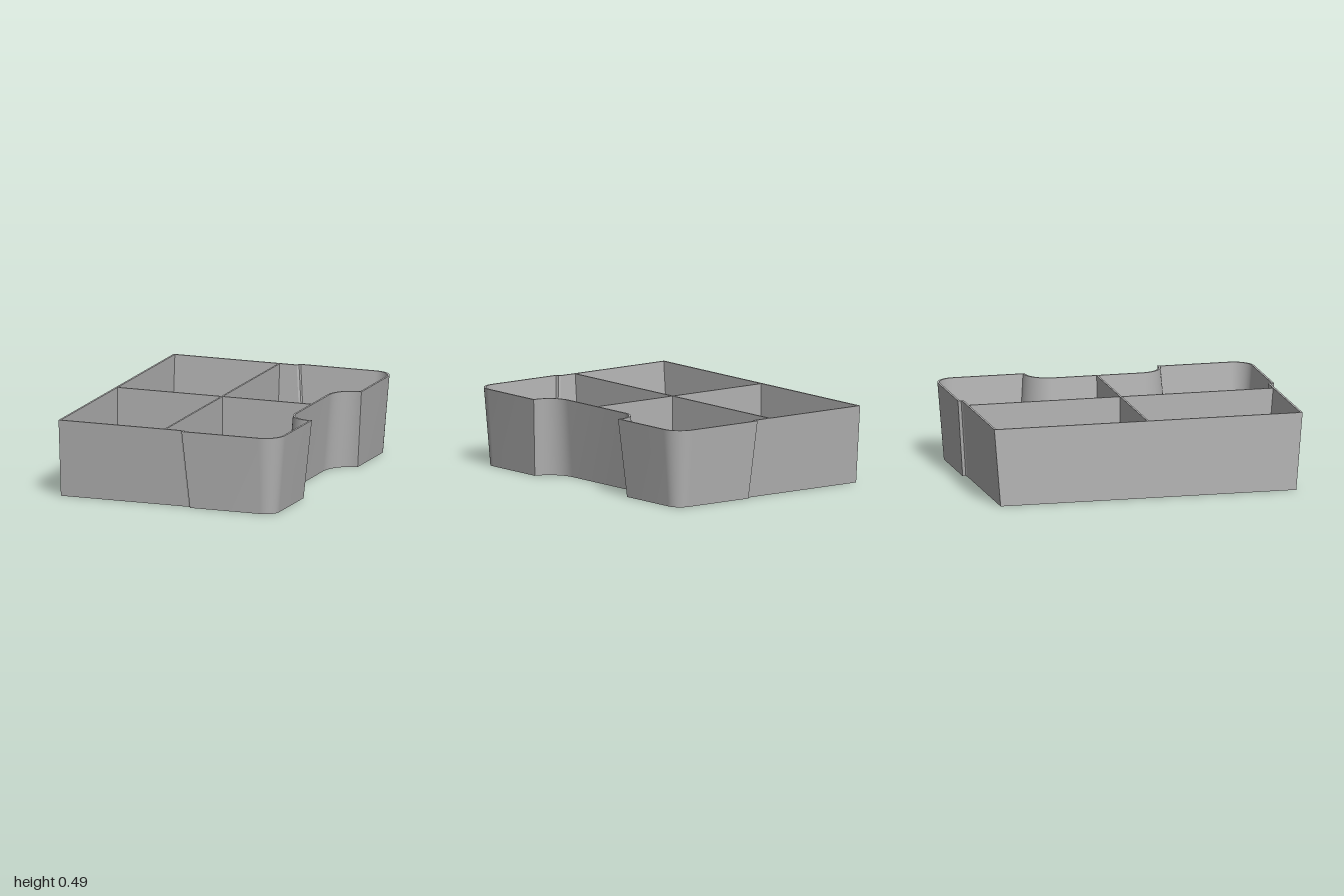
import * as THREE from 'three';
import { toCreasedNormals } from 'three/addons/utils/BufferGeometryUtils.js';

const H = 0.485, WALL = 0.013, FLOOR = 0.012, DRAFT = 0.04, BACK = -0.727;

// Tray outline at height y: inset d on the drafted sides, b on the upright side
function outline(y, d, b) {
  const half = [[BACK + b, 0.975 - d], [0.075 + d, 0.975 - d], [0.088 + d, 0.981 - d], [0.092 + d, 1 - d]];
  const arc = (cx, cz, r, from, to, n) => {
    for (let i = 0; i <= n; i++) {
      const a = from + (to - from) * i / n;
      half.push([cx + r * Math.cos(a), cz + r * Math.sin(a)]);
    }
  };
  arc(0.595, 0.87, 0.13 - d, Math.PI / 2, 0, 14);                       // rounded outer corner
  const r = 0.14 + d;
  arc(0.71, 0.28, r, Math.acos((0.015 - d) / r), Math.PI, 14);          // notch fillet
  const mirrored = half.map(([x, z]) => [x, -z]).reverse();
  return [...half, ...mirrored].map(([x, z]) => new THREE.Vector3(x, y, z));
}

// Outer wall, rim, inner wall and both floor faces as one shell
function shellGeometry() {
  const innerFloorInset = DRAFT * (1 - FLOOR / H) + WALL;
  const rings = [
    outline(0, DRAFT, 0),
    outline(H, 0, 0),
    outline(H, WALL, WALL),
    outline(FLOOR, innerFloorInset, WALL),
  ];
  const pos = [];
  const tri = (...pts) => pts.forEach(p => pos.push(p.x, p.y, p.z));
  const n = rings[0].length;
  for (let k = 0; k < rings.length - 1; k++) {
    for (let i = 0; i < n; i++) {
      const j = (i + 1) % n, lo = rings[k], hi = rings[k + 1];
      tri(lo[i], lo[j], hi[j]);
      tri(lo[i], hi[j], hi[i]);
    }
  }
  const cap = (ring, up) => {
    const flat = ring.map(p => new THREE.Vector2(p.x, -p.z));
    for (const [a, b, c] of THREE.ShapeUtils.triangulateShape(flat, [])) {
      if (up) tri(ring[a], ring[b], ring[c]);
      else tri(ring[a], ring[c], ring[b]);
    }
  };
  cap(rings[0], false);
  cap(rings[3], true);
  const geo = new THREE.BufferGeometry();
  geo.setAttribute('position', new THREE.Float32BufferAttribute(pos, 3));
  return toCreasedNormals(geo, 0.4);
}

// Thin upright divider from a four-corner profile
function dividerGeometry(corners) {
  const t = 0.012;
  const shape = new THREE.Shape(corners.map(([x, y]) => new THREE.Vector2(x, y)));
  return new THREE.ExtrudeGeometry(shape, { depth: t, bevelEnabled: false }).translate(0, 0, -t / 2);
}

export function createModel() {
  const group = new THREE.Group();
  group.name = 'dividedTray';
  const grey = new THREE.MeshStandardMaterial({ color: 0xb3b3b3 });
  grey.name = 'grey';

  const add = (name, geo) => {
    const mesh = new THREE.Mesh(geo, grey);
    mesh.name = name;
    group.add(mesh);
    return mesh;
  };

  add('trayShell', shellGeometry());

  // Dividers stop inside the wall thickness
  const y0 = FLOOR / 2, y1 = H - 0.001;
  add('longDivider', dividerGeometry([[-0.93, y0], [0.93, y0], [0.968, y1], [-0.968, y1]])
    .rotateY(Math.PI / 2).translate(-0.03, 0, 0));
  add('crossDivider', dividerGeometry([[BACK + 0.006, y0], [0.524, y0], [0.563, y1], [BACK + 0.006, y1]]));

  return group;
}
